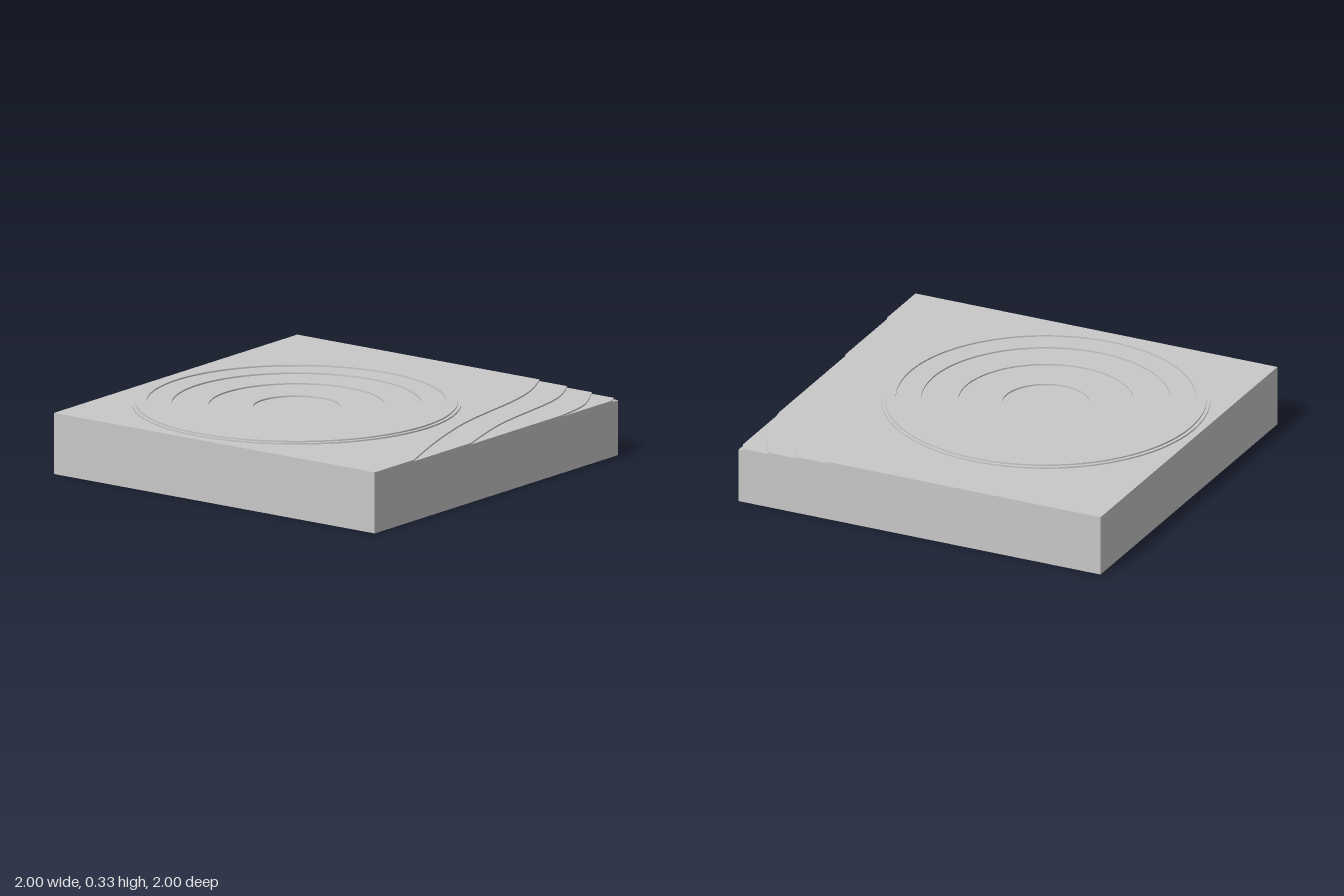
import * as THREE from 'three';

const STEP = 2 / 256; // height of one terrace
const BASE = 36 * STEP; // height of the solid block under the terraces
const CX = -0.135, CZ = -0.143; // centre of the round basin

export function createModel() {
  const group = new THREE.Group();
  const stone = new THREE.MeshStandardMaterial({ color: 0xc8c8c8 });
  stone.name = 'stone grey';

  // Shapes are drawn as (x, -z) and extruded upwards
  function addLayer(name, shape, y, height) {
    const geo = new THREE.ExtrudeGeometry(shape, { depth: height, bevelEnabled: false, curveSegments: 96 });
    geo.rotateX(-Math.PI / 2);
    const mesh = new THREE.Mesh(geo, stone);
    mesh.name = name;
    mesh.position.y = y;
    group.add(mesh);
  }

  // Circular opening of the basin
  function cutBasin(shape, radius) {
    const hole = new THREE.Path();
    hole.absarc(CX, -CZ, radius, 0, Math.PI * 2, true);
    shape.holes.push(hole);
    return shape;
  }

  // Square plate whose front left corner is cut along a wavy contour
  function plate(contour) {
    const s = new THREE.Shape();
    const curve = new THREE.SplineCurve(contour.map(([x, z]) => new THREE.Vector2(x, -z)));
    s.moveTo(-1, 1);
    s.lineTo(-1, -1);
    for (const p of curve.getPoints(40)) s.lineTo(p.x, Math.max(p.y, -1));
    s.lineTo(1, 1);
    s.closePath();
    return s;
  }

  // Solid block
  const block = new THREE.Mesh(new THREE.BoxGeometry(2, BASE, 2), stone);
  block.name = 'block';
  block.position.y = BASE / 2;
  group.add(block);

  // Terraces falling away to the corner, the upper two opened by the basin
  const terraces = [
    { contour: [[0.95, 1], [1, 0.975]] },
    { contour: [[0.54, 1], [0.78, 0.955], [1, 0.835]] },
    { contour: [[-0.21, 1], [0.02, 0.925], [0.26, 0.865], [0.67, 0.81], [0.85, 0.76], [1, 0.68]], basin: 0.216 },
    { contour: [[-0.68, 1], [-0.37, 0.88], [-0.1, 0.79], [0.16, 0.725], [0.57, 0.665], [0.8, 0.605], [1, 0.51]], basin: 0.437 },
  ];
  terraces.forEach(({ contour, basin }, i) => {
    const shape = plate(contour);
    if (basin) cutBasin(shape, basin);
    addLayer('terrace' + (i + 1), shape, BASE + i * STEP, STEP);
  });

  // Raised round rim in two steps
  [[0.817, 0.62], [0.8, 0.746]].forEach(([outer, inner], i) => {
    const ring = new THREE.Shape();
    ring.absarc(CX, -CZ, outer, 0, Math.PI * 2, false);
    addLayer('rim' + (i + 1), cutBasin(ring, inner), BASE + (4 + i) * STEP, STEP);
  });

  return group;
}
